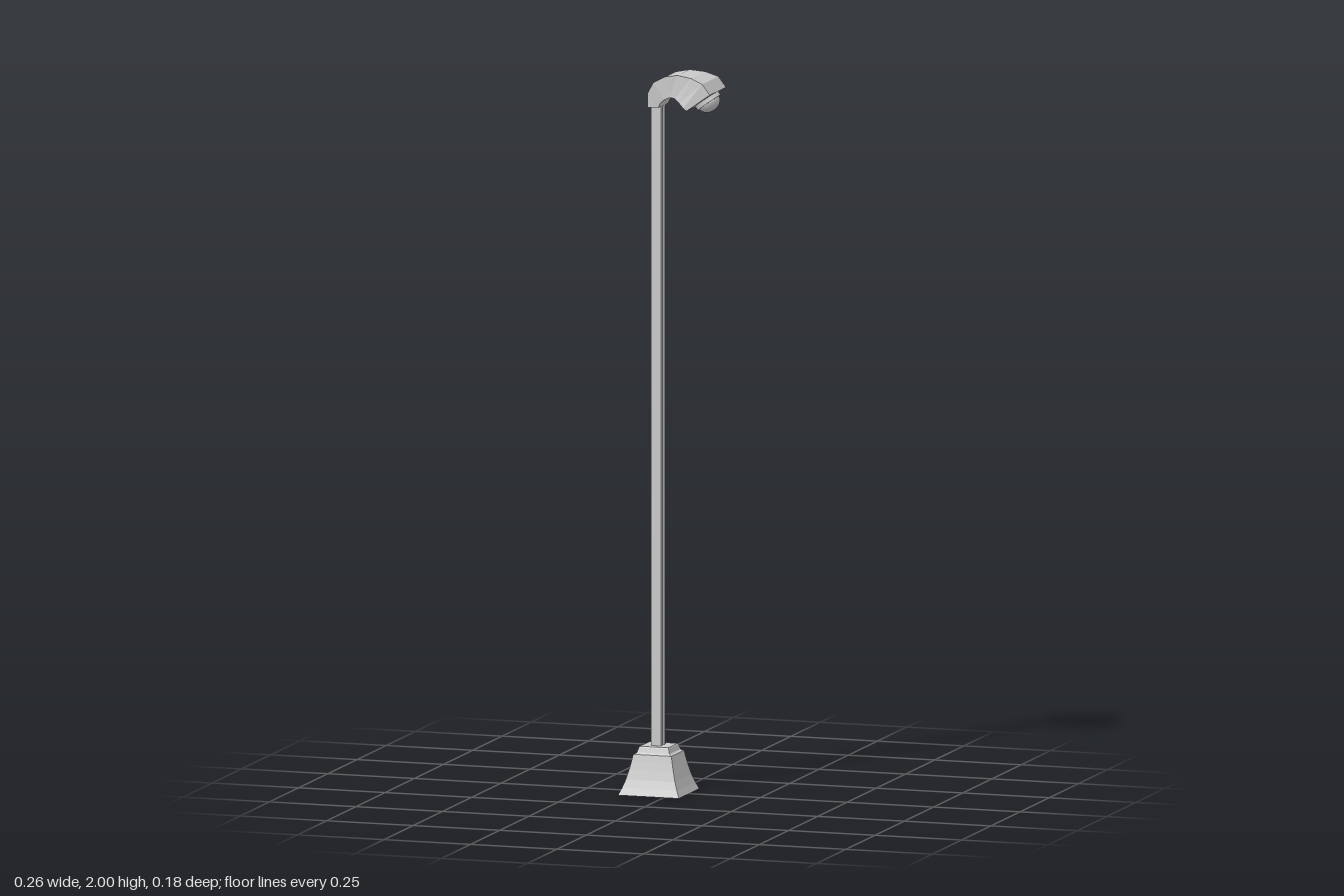
import * as THREE from 'three';

const flat = () => new THREE.MeshStandardMaterial({ color: 0xcccccc, flatShading: true });
const smooth = () => new THREE.MeshStandardMaterial({ color: 0xcccccc });
const POST_X = -0.044;

function part(name, geometry, material = flat()) {
  const mesh = new THREE.Mesh(geometry, material);
  mesh.name = name;
  return mesh;
}

// Square profile turned about y: rows of [half width, height], bottom to top
function squareLathe(rows) {
  const pts = rows.map(([h, y]) => new THREE.Vector2(h * Math.SQRT2, y));
  const g = new THREE.LatheGeometry(pts, 4, Math.PI / 4).toNonIndexed();
  g.computeVertexNormals();
  return g;
}

// Four-sided sections [outer x, outer y, inner x, inner y, half depth] joined into a closed body
function sectionBody(sections) {
  const pos = [], idx = [];
  sections.forEach(([ox, oy, ix, iy, h]) => pos.push(ox, oy, h, ox, oy, -h, ix, iy, -h, ix, iy, h));
  for (let i = 0; i < sections.length - 1; i++) {
    for (let j = 0; j < 4; j++) {
      const a = i * 4 + j, b = i * 4 + (j + 1) % 4;
      idx.push(a, a + 4, b + 4, a, b + 4, b);
    }
  }
  const e = (sections.length - 1) * 4;
  idx.push(0, 1, 2, 0, 2, 3, e, e + 2, e + 1, e, e + 3, e + 2);
  let g = new THREE.BufferGeometry();
  g.setAttribute('position', new THREE.Float32BufferAttribute(pos, 3));
  g.setIndex(idx);
  g = g.toNonIndexed();
  g.computeVertexNormals();
  return g;
}

export function createModel() {
  const lamp = new THREE.Group();
  lamp.name = 'streetLamp';

  // Flared square foot with a stepped collar
  const base = part('base', squareLathe([
    [0, 0], [0.088, 0], [0.079, 0.02], [0.071, 0.042], [0.064, 0.068], [0.059, 0.09], [0.055, 0.11],
    [0.049, 0.113], [0.047, 0.115], [0.043, 0.128], [0.041, 0.131], [0, 0.131],
  ]));
  base.position.x = POST_X;
  lamp.add(base);

  // Post with a groove down both x sides
  const w = 0.0145, d = 0.0185, groove = 0.006, web = 0.005;
  const half = [[w, -d], [w, -groove], [web, -groove], [web, groove], [w, groove], [w, d]];
  const outline = [...half, ...half.map(([x, z]) => [-x, -z])];
  const postGeo = new THREE.ExtrudeGeometry(
    new THREE.Shape(outline.map(([x, z]) => new THREE.Vector2(x, z))),
    { depth: 1.81, bevelEnabled: false });
  postGeo.rotateX(-Math.PI / 2);
  const post = part('post', postGeo);
  post.position.set(POST_X - 0.001, 0.12, 0);
  lamp.add(post);

  // Curved hood, widening toward the light
  lamp.add(part('hood', sectionBody([
    [-0.062, 1.905, -0.031, 1.905, 0.042],
    [-0.061, 1.945, -0.025, 1.918, 0.044],
    [-0.044, 1.975, -0.012, 1.929, 0.047],
    [-0.010, 1.993, 0.004, 1.936, 0.047],
    [0.028, 2.000, 0.020, 1.935, 0.053],
    [0.070, 1.995, 0.036, 1.924, 0.062],
    [0.105, 1.982, 0.050, 1.912, 0.070],
    [0.127, 1.953, 0.060, 1.905, 0.070],
  ])));

  // Light set into the slanted lower end
  const light = new THREE.Group();
  light.name = 'light';
  light.position.set(0.095, 1.929, 0);
  light.rotation.z = Math.atan2(0.05, 0.067);
  const ring = part('lightRing', new THREE.CylinderGeometry(0.038, 0.038, 0.014, 24), flat());
  ring.position.y = -0.005;
  const bulb = part('bulb', new THREE.SphereGeometry(0.034, 24, 14), smooth());
  bulb.position.y = -0.007;
  bulb.scale.y = 0.85;
  light.add(ring, bulb);
  lamp.add(light);

  return lamp;
}
